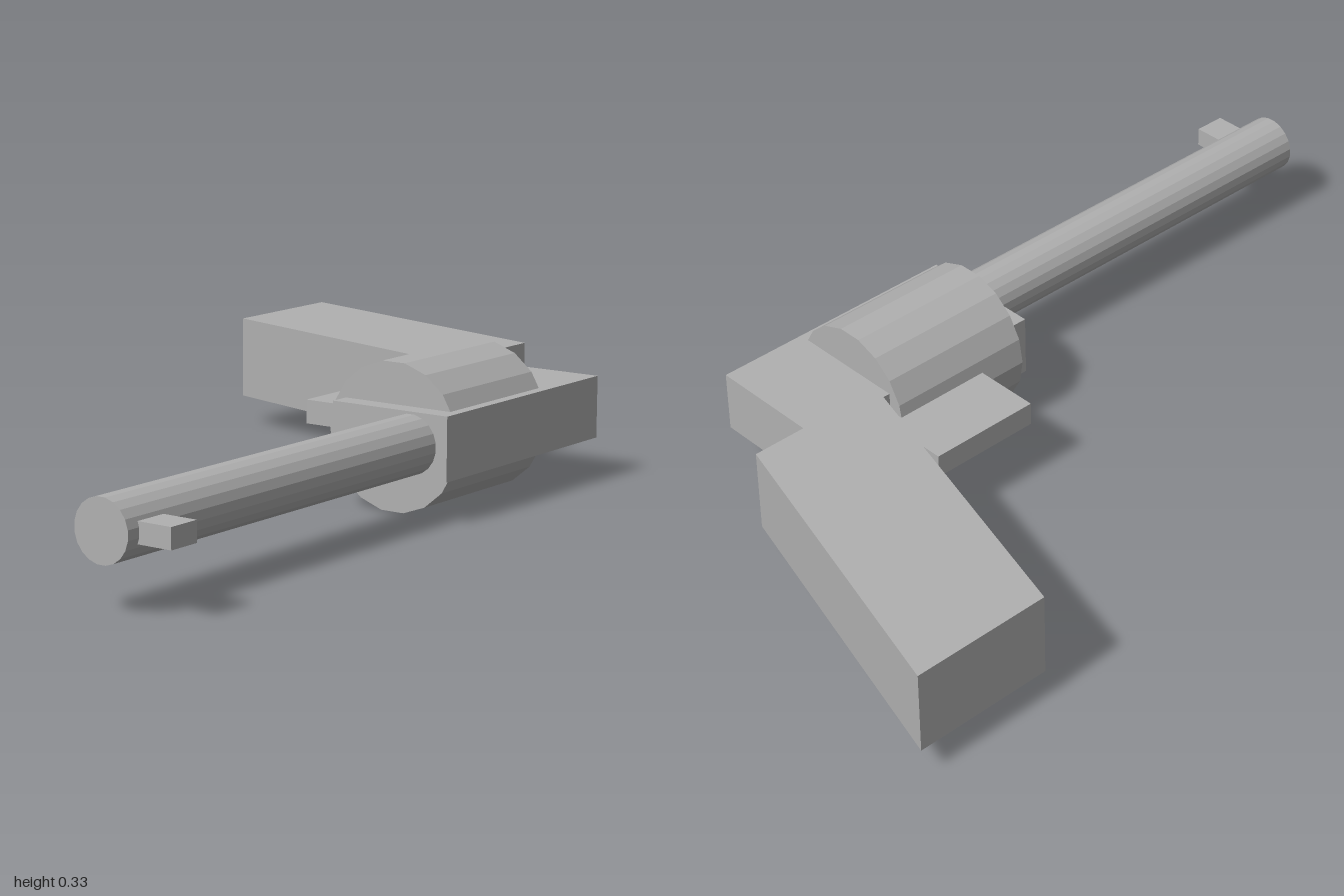
import * as THREE from 'three';

export function createModel() {
  const group = new THREE.Group();
  const grey = new THREE.MeshStandardMaterial({ color: 0xb0b0b0, flatShading: true });
  grey.name = 'plain grey';

  const add = (name, geometry) => {
    const mesh = new THREE.Mesh(geometry, grey);
    mesh.name = name;
    group.add(mesh);
    return mesh;
  };

  // Box given by its limits on each axis
  const box = (x0, x1, y0, y1, z0, z1) =>
    new THREE.BoxGeometry(x1 - x0, y1 - y0, z1 - z0)
      .translate((x0 + x1) / 2, (y0 + y1) / 2, (z0 + z1) / 2);

  // Faceted cylinder lying along z, with a flat facet on top
  const rod = (x, y, radius, z0, z1, sides) =>
    new THREE.CylinderGeometry(radius, radius, z1 - z0, sides, 1, false, Math.PI / sides)
      .rotateX(Math.PI / 2)
      .translate(x, y, (z0 + z1) / 2);

  // Body, drum and barrel
  add('frame', box(0.197, 0.498, 0.096, 0.24, -0.64, -0.025));
  add('drum', rod(0.324, 0.1665, 0.169, -0.427, -0.073, 18));
  add('barrel', rod(0.403, 0.168, 0.067, -0.03, 1, 20));

  // Small blocks beside the frame and at the tip of the barrel
  add('trigger', box(0.002, 0.21, 0.14, 0.195, -0.46, -0.19));
  add('frontSight', box(0.455, 0.547, 0.145, 0.19, 0.89, 0.967));

  // Handle: a box whose z slides back as x decreases
  const handle = new THREE.BoxGeometry(0.755, 0.196, 0.333);
  const p = handle.attributes.position;
  for (let i = 0; i < p.count; i++) p.setZ(i, p.getZ(i) + 0.279 * p.getX(i));
  handle.computeVertexNormals();
  add('handle', handle.translate(-0.1725, 0.168, -0.728));

  return group;
}
